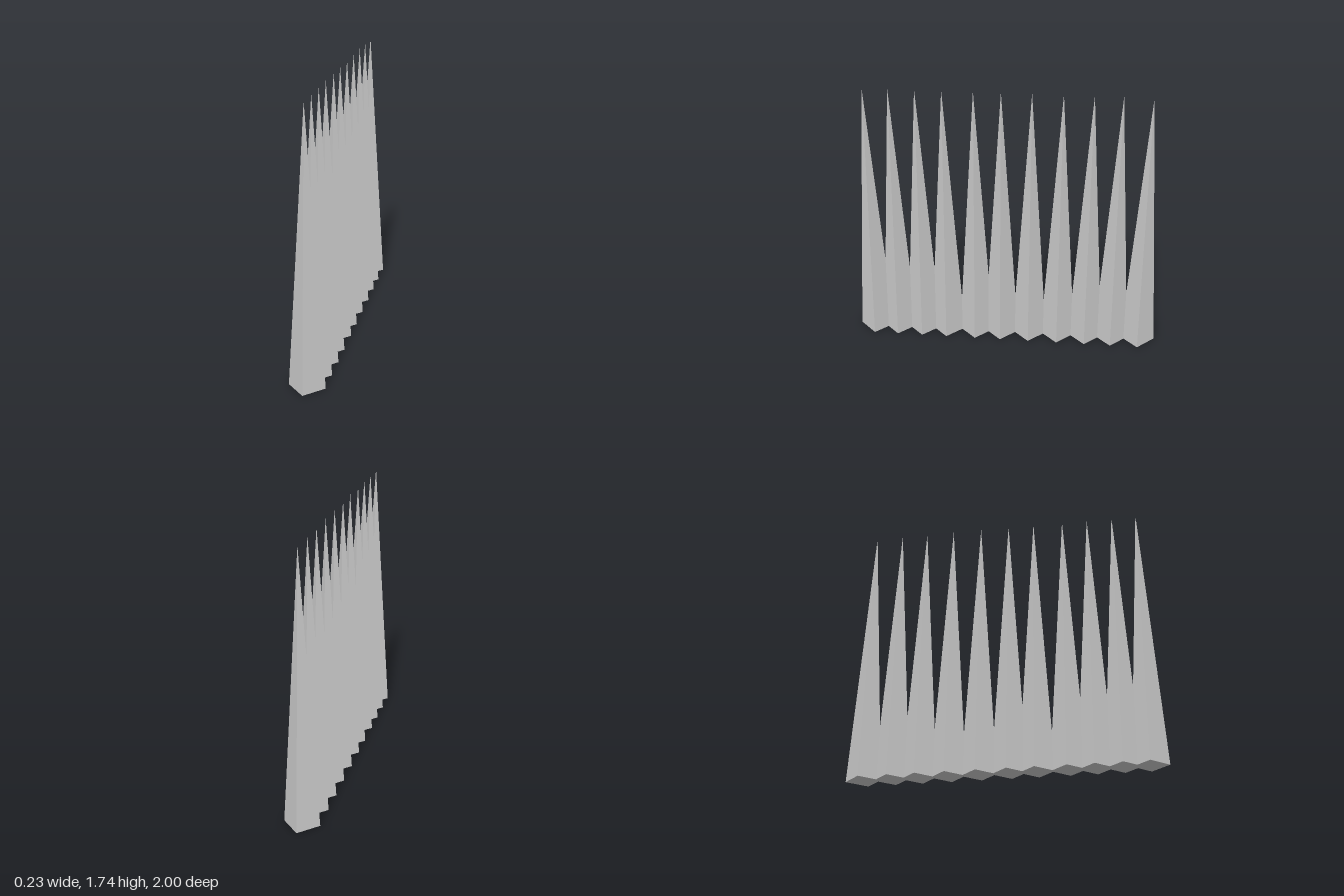
import * as THREE from 'three';

const HEIGHT = 1.74;
const RADIUS = 0.113;
// slightly uneven spacing along the row, front to back
const SPIKE_Z = [0.887, 0.728, 0.562, 0.396, 0.202, 0.032, -0.157, -0.348, -0.533, -0.707, -0.887];

export function createModel() {
  const group = new THREE.Group();
  group.name = 'spikeRow';
  const material = new THREE.MeshStandardMaterial({ color: 0xcccccc, flatShading: true });

  // four-sided spike standing on the ground, corners on the x and z axes
  const geometry = new THREE.ConeGeometry(RADIUS, HEIGHT, 4);
  geometry.translate(0, HEIGHT / 2, 0);

  SPIKE_Z.forEach((z, i) => {
    const spike = new THREE.Mesh(geometry, material);
    spike.name = `spike${i + 1}`;
    spike.position.z = z;
    group.add(spike);
  });
  return group;
}
